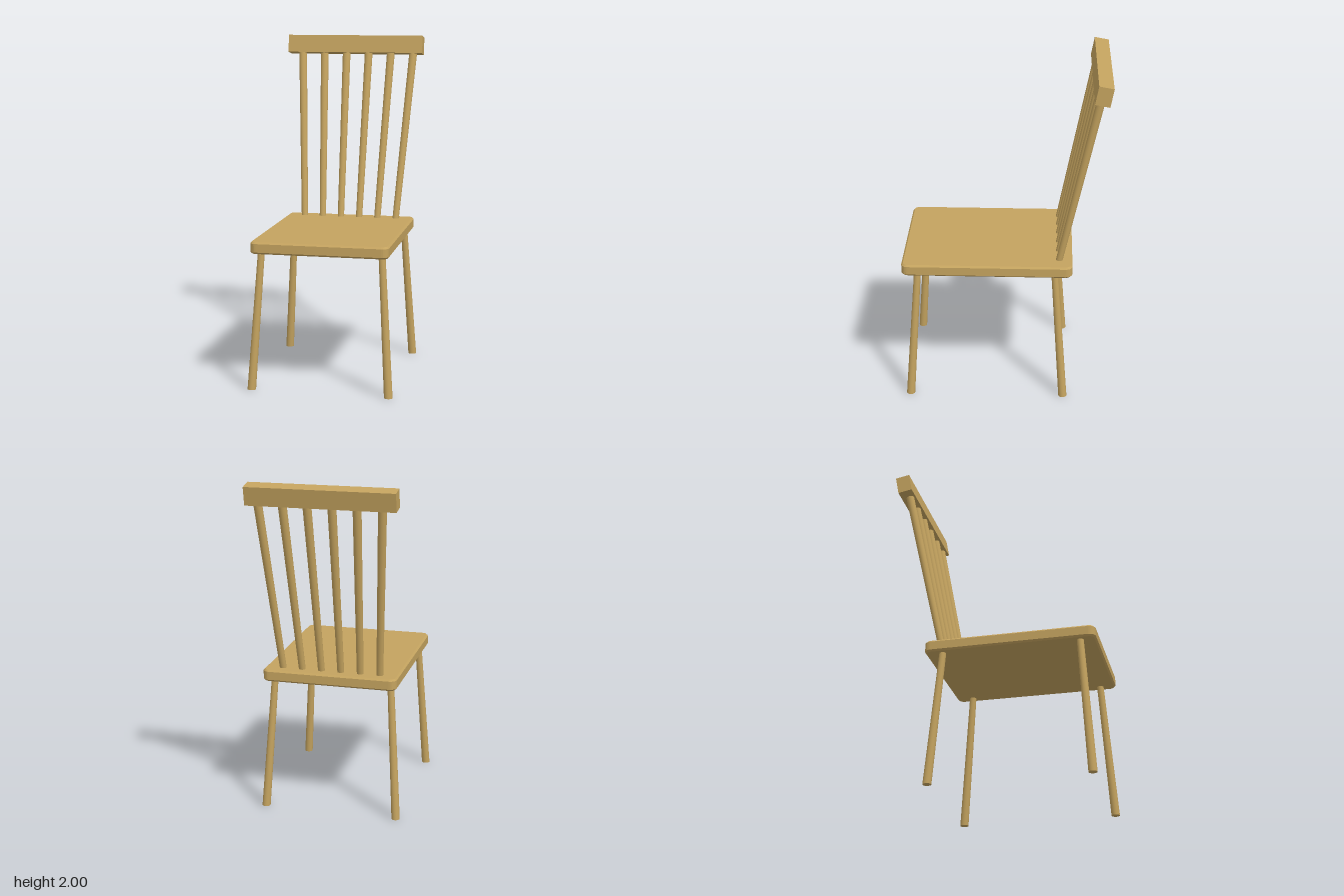
import * as THREE from 'three';

const wood = new THREE.MeshStandardMaterial({ color: 0xc4a35f });
const SEAT = { width: 0.8, depth: 1.0, bottom: 0.806, top: 0.875, z: 0.1, corner: 0.04, bevel: 0.01 };

// Tapered rod from a to b (lower to upper), sheared so its ends stay level
function rod(name, a, b, rBottom, rTop) {
  const h = b.y - a.y;
  const geo = new THREE.CylinderGeometry(rTop, rBottom, h, 16);
  geo.translate(0, h / 2, 0);
  geo.applyMatrix4(new THREE.Matrix4().set(
    1, (b.x - a.x) / h, 0, a.x,
    0, 1, 0, a.y,
    0, (b.z - a.z) / h, 1, a.z,
    0, 0, 0, 1));
  const mesh = new THREE.Mesh(geo, wood);
  mesh.name = name;
  return mesh;
}

// Flat slab with rounded corners and a small chamfer on its rims
function buildSeat() {
  const { width, depth, bottom, top, z, corner, bevel } = SEAT;
  const w = width / 2 - bevel, d = depth / 2 - bevel, r = corner - bevel;
  const s = new THREE.Shape();
  s.moveTo(-w + r, -d);
  s.absarc(w - r, -d + r, r, -Math.PI / 2, 0);
  s.absarc(w - r, d - r, r, 0, Math.PI / 2);
  s.absarc(-w + r, d - r, r, Math.PI / 2, Math.PI);
  s.absarc(-w + r, -d + r, r, Math.PI, Math.PI * 1.5);
  const geo = new THREE.ExtrudeGeometry(s, {
    depth: top - bottom - 2 * bevel, bevelEnabled: true, bevelSize: bevel,
    bevelThickness: bevel, bevelSegments: 1, curveSegments: 3,
  });
  geo.rotateX(-Math.PI / 2);
  geo.translate(0, bottom + bevel, z);
  const seat = new THREE.Mesh(geo, wood);
  seat.name = 'seat';
  return seat;
}

export function createModel() {
  const chair = new THREE.Group();
  chair.name = 'chair';
  chair.add(buildSeat());

  // Four splayed legs
  for (const side of [1, -1]) {
    const label = side > 0 ? 'Left' : 'Right';
    for (const [name, zFoot, zTop] of [['front', 0.566, 0.507], ['back', -0.357, -0.297]]) {
      chair.add(rod(name + label + 'Leg',
        new THREE.Vector3(side * 0.401, 0, zFoot),
        new THREE.Vector3(side * 0.35, 0.82, zTop), 0.025, 0.02));
    }
  }

  // Six spindles fanning out and leaning back
  const spindles = new THREE.Group();
  spindles.name = 'spindles';
  for (let i = 0; i < 6; i++) {
    const k = i - 2.5;
    spindles.add(rod('spindle' + (i + 1),
      new THREE.Vector3(0.001 + k * 0.116, 0.85, -0.318),
      new THREE.Vector3(0.008 + k * 0.1424, 1.92, -0.538), 0.02, 0.025));
  }
  chair.add(spindles);

  // Top rail, tilted with the back
  const rail = new THREE.Mesh(new THREE.BoxGeometry(0.857, 0.108, 0.085), wood);
  rail.name = 'topRail';
  rail.position.set(-0.006, 1.939, -0.5485);
  rail.rotation.x = -0.183;
  chair.add(rail);

  return chair;
}
